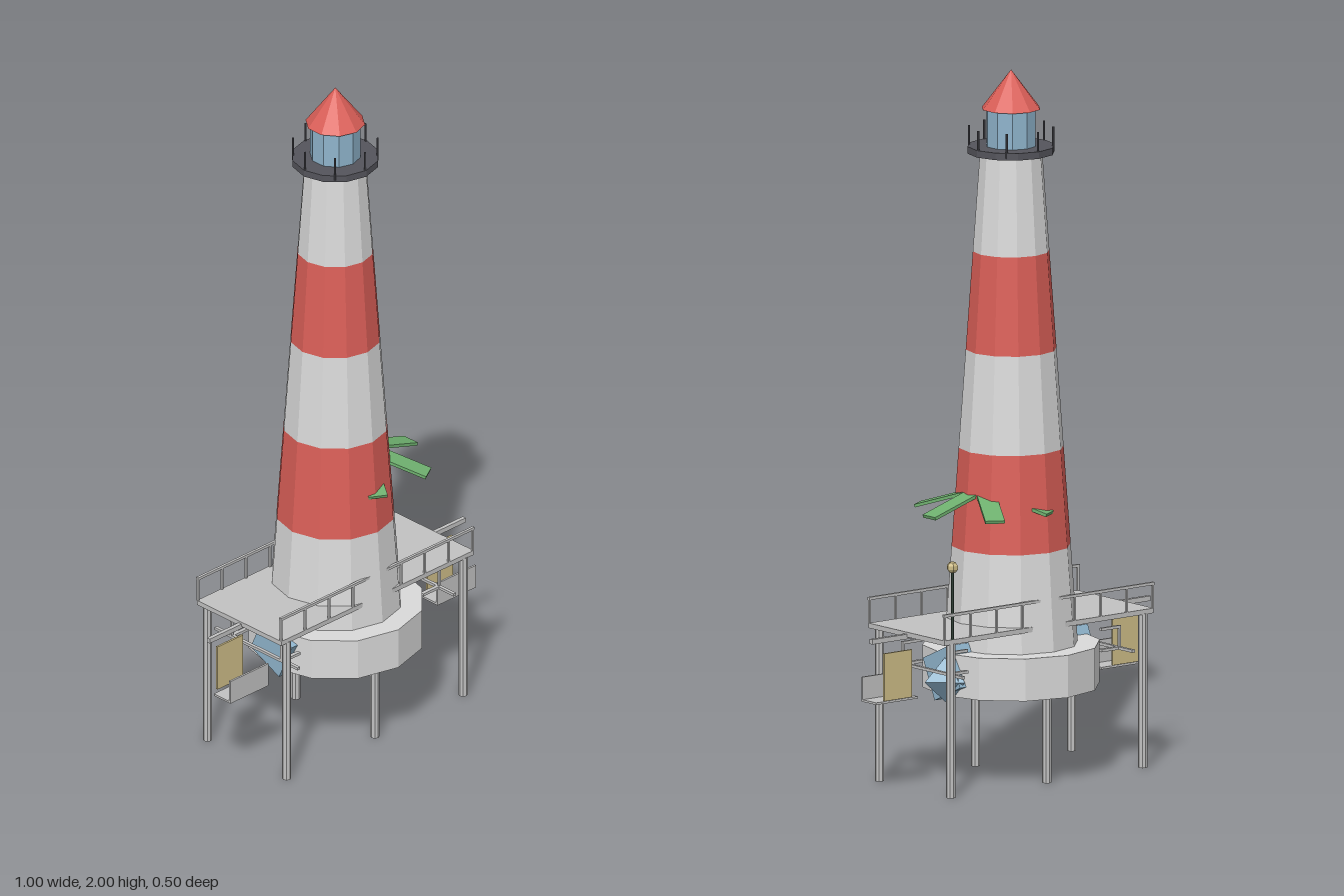
import * as THREE from 'three';

export function createModel() {
  const root = new THREE.Group();
  root.name = 'lighthouse';
  const mat = (name, color, side = THREE.FrontSide) => {
    const m = new THREE.MeshStandardMaterial({ color, flatShading: true, side });
    m.name = name;
    return m;
  };
  const white = mat('whitePaint', 0xdadada);
  const red = mat('redPaint', 0xdb5f58);
  const grey = mat('metalGrey', 0xc2c2c2);
  const dark = mat('darkIron', 0x55555c);
  const blue = mat('glassBlue', 0x8fb4cc);
  const tan = mat('tan', 0xcfbe88);
  const green = mat('leafGreen', 0x6fb06f);
  const pole = mat('poleGreen', 0x3c5044);

  const add = (name, geo, material, x = 0, y = 0, z = 0, parent = root) => {
    const m = new THREE.Mesh(geo, material);
    m.name = name;
    m.position.set(x, y, z);
    parent.add(m);
    return m;
  };
  const box = (name, material, w, h, d, x, y, z, parent) =>
    add(name, new THREE.BoxGeometry(w, h, d), material, x, y, z, parent);
  // Upright cylinder between two heights
  const column = (name, material, rTop, rBottom, y0, y1, sides, x = 0, z = 0) =>
    add(name, new THREE.CylinderGeometry(rTop, rBottom, y1 - y0, sides), material, x, (y0 + y1) / 2, z);

  // Base drum and five tapering bands
  column('baseDrum', white, 0.25, 0.25, 0.255, 0.375, 12);
  const y0 = 0.375, y1 = 1.765;
  const radiusAt = (y) => 0.188 - 0.1 * (y - y0) / (y1 - y0);
  for (let i = 0; i < 5; i++) {
    const a = y0 + (y1 - y0) * i / 5, b = y0 + (y1 - y0) * (i + 1) / 5;
    column('towerBand', i % 2 ? red : white, radiusAt(b), radiusAt(a), a, b, 12);
  }

  // Gallery, lantern and roof
  column('gallery', dark, 0.123, 0.123, 1.765, 1.785, 12);
  for (let i = 0; i < 8; i++) {
    const a = i * Math.PI / 4;
    column('galleryPost', dark, 0.003, 0.003, 1.77, 1.84, 6, 0.118 * Math.sin(a), 0.118 * Math.cos(a));
  }
  column('lantern', blue, 0.071, 0.071, 1.785, 1.89, 10);
  add('roof', new THREE.ConeGeometry(0.084, 0.11, 10), red, 0, 1.945, 0);

  // Deck, long crossbeam and legs
  box('deck', grey, 0.752, 0.014, 0.335, 0, 0.443, 0);
  box('crossbeam', grey, 1.0, 0.014, 0.012, 0, 0.437, 0.004);
  for (const x of [-0.345, 0, 0.345]) {
    for (const z of [-0.157, 0.157]) column('leg', grey, 0.013, 0.013, 0, 0.438, 8, x, z);
  }

  // Railings along both long sides
  for (const z of [-0.165, 0.165]) {
    box('handrail', grey, 0.756, 0.008, 0.008, 0, 0.52, z);
    for (let i = 0; i < 9; i++) box('railPost', grey, 0.006, 0.07, 0.006, -0.374 + i * 0.0935, 0.485, z);
  }

  // Mast with a ball
  column('mast', pole, 0.004, 0.004, 0.45, 0.645, 6, 0.345, -0.165);
  add('mastBall', new THREE.SphereGeometry(0.017, 6, 5), tan, 0.345, 0.655, -0.165);

  // Hanging boards, trays and under-deck frames at both ends
  for (const s of [-1, 1]) {
    box('board', tan, 0.1, 0.135, 0.006, s * 0.41, 0.332, -0.003);
    box('trayFloor', grey, 0.15, 0.006, 0.065, s * 0.405, 0.258, 0.038);
    box('trayFront', grey, 0.15, 0.07, 0.006, s * 0.405, 0.29, 0.068);
    box('frameBar', grey, 0.01, 0.008, 0.33, s * 0.305, 0.336, 0);
    for (const z of [-0.1, 0.1]) {
      box('frameRail', grey, 0.07, 0.008, 0.008, s * 0.275, 0.396, z);
      box('frameSlat', grey, 0.07, 0.008, 0.012, s * 0.275, 0.336, z);
      box('framePost', grey, 0.007, 0.066, 0.007, s * 0.307, 0.366, z);
    }
  }

  // Blue body lying through the base, with a pointed end
  const body = box('blueBody', blue, 0.5, 0.124, 0.124, 0, 0.318, 0);
  body.rotation.x = 0.43;
  const nose = add('blueNose', new THREE.ConeGeometry(0.073, 0.085, 4), blue, 0.28, 0.302, -0.015);
  nose.rotation.z = -Math.PI / 2;

  // Six drooping leaves around a crown inside the tower wall
  const crown = new THREE.Group();
  crown.name = 'leafCrown';
  crown.position.set(0.098, 0.822, 0);
  root.add(crown);
  for (let i = 0; i < 6; i++) {
    const arm = new THREE.Group();
    arm.name = 'leafArm';
    arm.rotation.y = i * Math.PI / 3;
    crown.add(arm);
    const leaf = box('leaf', green, 0.185, 0.009, 0.055, 0.108, -0.03, 0, arm);
    leaf.rotation.z = -0.3;
  }
  return root;
}
